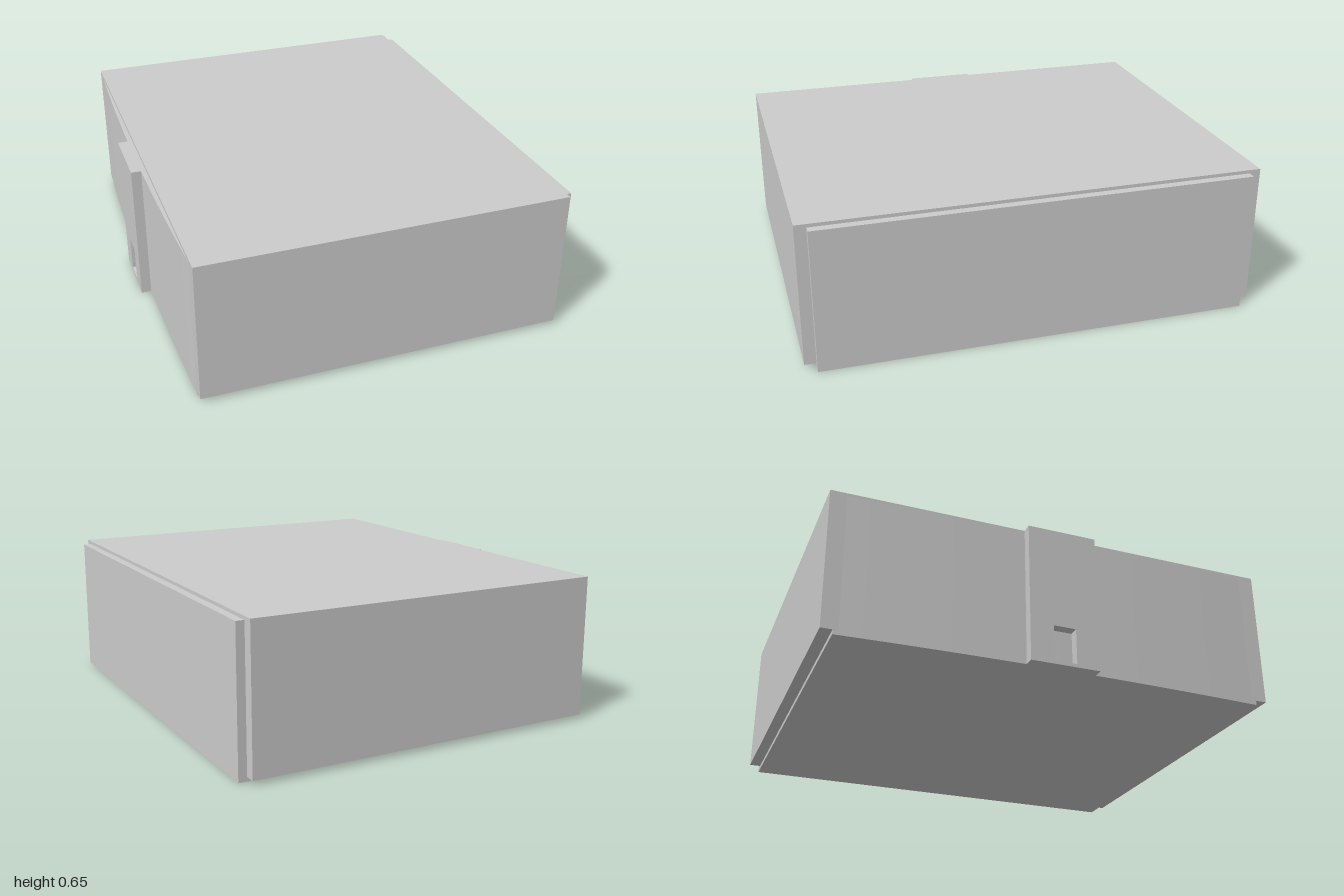
import * as THREE from 'three';

export function createModel() {
  const group = new THREE.Group();
  const material = new THREE.MeshStandardMaterial({ color: 0xcccccc, flatShading: true });
  const add = (name, geometry) => {
    const mesh = new THREE.Mesh(geometry, material);
    mesh.name = name;
    group.add(mesh);
    return mesh;
  };

  // Outer cover: plain block, overhanging the tray at front and back
  const cover = new THREE.BoxGeometry(1.617, 0.63, 2);
  cover.translate(0.0125, 0.335, 0);
  add('outerCover', cover);

  // Inner tray: base and side panels in one plan outline, with a gently bowed side
  const half = 0.95;
  const plan = new THREE.Shape();
  plan.moveTo(0.858, -half);
  plan.lineTo(0.858, half);
  const steps = 16;
  for (let i = 0; i <= steps; i++) {
    const t = 1 - (2 * i) / steps;
    plan.lineTo(-0.818 + 0.023 * t * t, t * half);
  }
  plan.closePath();
  const tray = new THREE.ExtrudeGeometry(plan, { depth: 0.635, bevelEnabled: false });
  tray.rotateX(-Math.PI / 2);
  add('innerTray', tray);

  // Handle strip on the bowed side, with a small slot near its foot
  const strip = new THREE.Shape();
  strip.moveTo(-0.155, 0);
  strip.lineTo(0.155, 0);
  strip.lineTo(0.155, 0.635);
  strip.lineTo(-0.155, 0.635);
  strip.closePath();
  const slot = new THREE.Path();
  slot.moveTo(-0.05, 0.015);
  slot.lineTo(-0.05, 0.175);
  slot.lineTo(0.05, 0.175);
  slot.lineTo(0.05, 0.015);
  slot.closePath();
  strip.holes.push(slot);
  const handle = new THREE.ExtrudeGeometry(strip, { depth: 0.052, bevelEnabled: false });
  handle.rotateY(-Math.PI / 2);
  handle.translate(-0.81, 0, 0);
  add('handleStrip', handle);

  return group;
}
